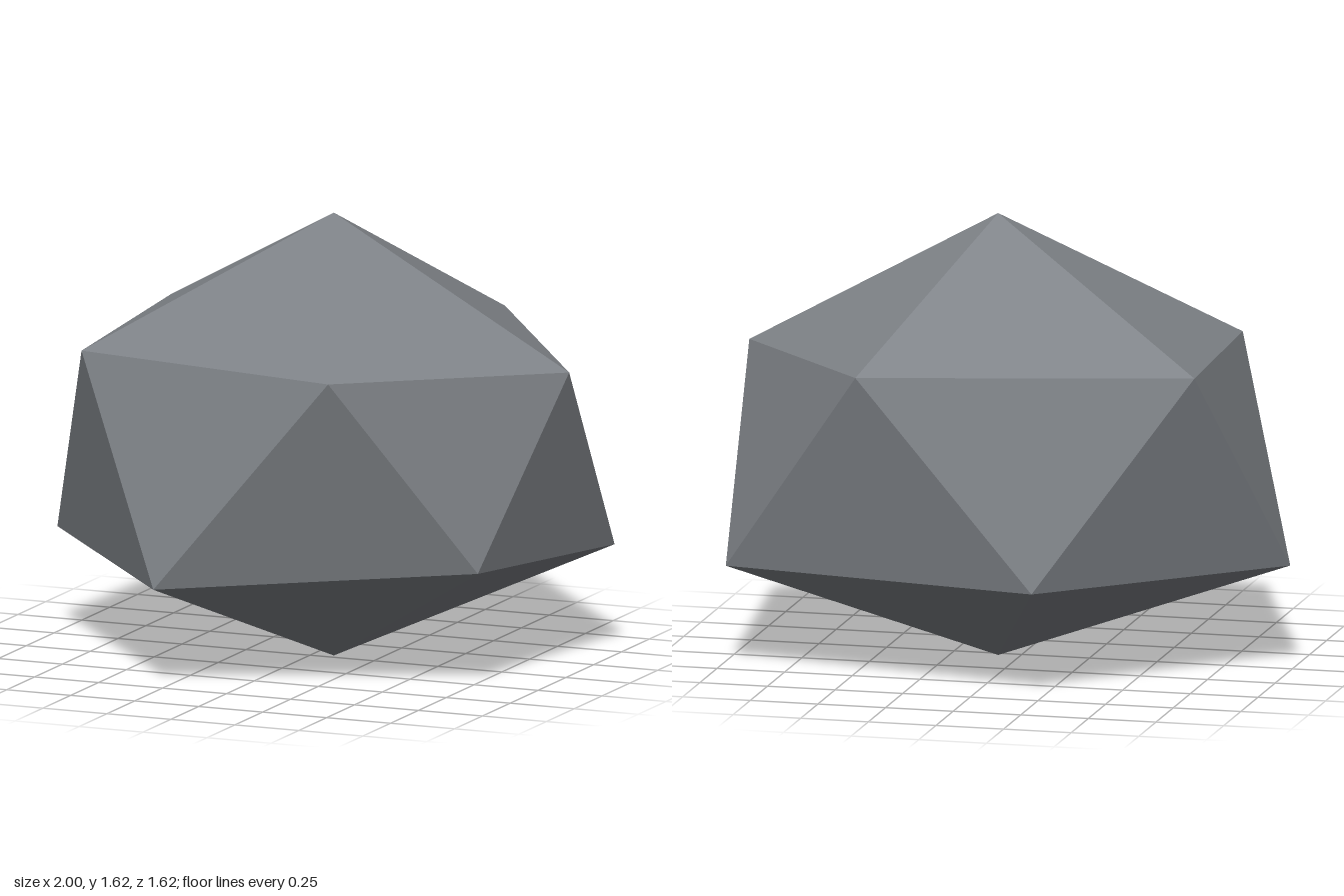
import * as THREE from 'three';

// Low-poly rock: an uneven icosahedron made of two five-point rings and two poles
export function createModel() {
  const group = new THREE.Group();
  group.name = 'rock';

  const top = [0.08, 1.62, -0.03];
  const bottom = [0.08, 0, -0.03];
  const upper = [
    [1.0, 1.11, -0.03], [0.41, 1.17, 0.78], [-0.71, 1.135, 0.42],
    [-0.77, 1.16, -0.52], [0.41, 1.16, -0.81],
  ];
  const lower = [
    [0.83, 0.44, 0.4], [-0.26, 0.37, 0.81], [-1.0, 0.385, -0.03],
    [-0.24, 0.4, -0.805], [0.96, 0.385, -0.53],
  ];

  // Cap, zigzag band and underside, one wedge at a time
  const points = [];
  for (let i = 0; i < 5; i++) {
    const j = (i + 1) % 5;
    points.push(
      top, upper[j], upper[i],
      upper[i], upper[j], lower[i],
      lower[i], upper[j], lower[j],
      bottom, lower[i], lower[j],
    );
  }
  const geometry = new THREE.BufferGeometry();
  geometry.setAttribute('position', new THREE.Float32BufferAttribute(points.flat(), 3));
  geometry.computeVertexNormals();

  const stone = new THREE.MeshStandardMaterial({ color: 0x7f8388, flatShading: true });
  stone.name = 'stone grey';
  const rock = new THREE.Mesh(geometry, stone);
  rock.name = 'stone';
  group.add(rock);
  return group;
}
